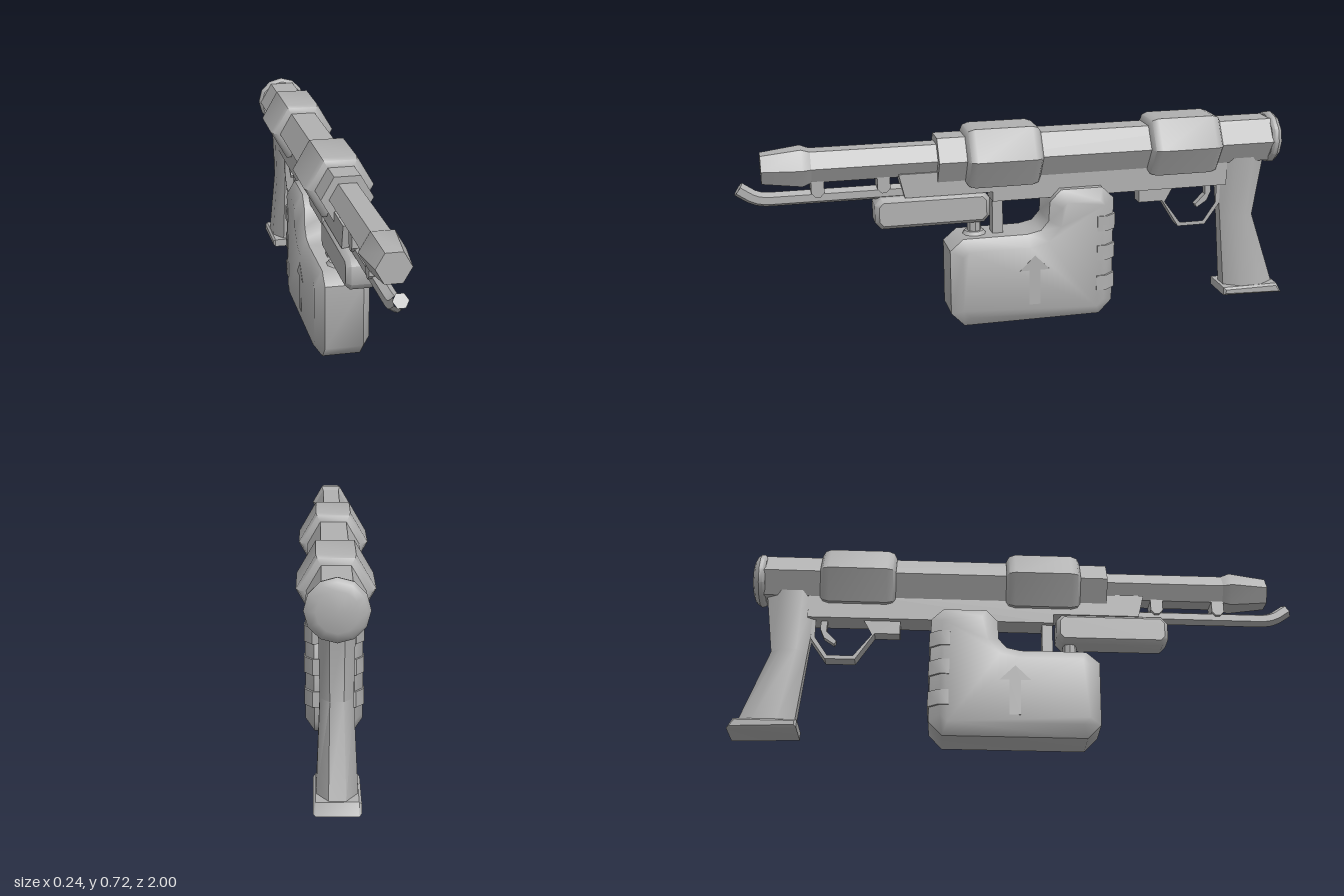
import * as THREE from 'three';
import { toCreasedNormals } from 'three/addons/utils/BufferGeometryUtils.js';

const AXIS_Y = 0.612;

export function createModel() {
  const model = new THREE.Group();
  const grey = new THREE.MeshStandardMaterial({ color: 0xb0b0b0 });
  grey.name = 'plain grey';

  const add = (name, geometry, crease = 0.7) => {
    const mesh = new THREE.Mesh(toCreasedNormals(geometry, crease), grey);
    mesh.name = name;
    model.add(mesh);
    return mesh;
  };
  const shapeOf = (pts) => new THREE.Shape(pts.map(([a, b]) => new THREE.Vector2(a, b)));

  // Turned part along z; profile is [radius, z] from back to front
  const turned = (name, profile, sides = 6, y = AXIS_Y) => {
    const g = new THREE.LatheGeometry(profile.map(([r, z]) => new THREE.Vector2(r, z)), sides, Math.PI / 2);
    g.rotateX(Math.PI / 2).translate(0, y, 0);
    return add(name, g);
  };

  // Side profile in [z, y], centred on x = 0, with an optional inward bevel
  const slab = (name, pts, width, bevel = 0, bevelDepth = bevel, holes = [], crease = 0.7) => {
    const shape = shapeOf(pts);
    holes.forEach((h) => shape.holes.push(shapeOf(h)));
    const depth = width - 2 * bevelDepth;
    const g = new THREE.ExtrudeGeometry(shape, {
      depth, bevelEnabled: bevel > 0, bevelSize: bevel, bevelOffset: -bevel,
      bevelThickness: bevelDepth, bevelSegments: 1,
    });
    g.translate(0, 0, -depth / 2).rotateY(-Math.PI / 2);
    return add(name, g, crease);
  };
  const rect = (z0, z1, y0, y1) => [[z0, y0], [z1, y0], [z1, y1], [z0, y1]];

  // Main tube, front barrel and nozzle
  turned('mainTube', [[0, -0.93], [0.09, -0.93], [0.09, 0.315], [0.066, 0.315], [0, 0.315]]);
  turned('barrel', [[0, 0.28], [0.062, 0.28], [0.062, 0.78], [0, 0.78]]);
  turned('nozzle', [[0, 0.745], [0.062, 0.745], [0.074, 0.775], [0.056, 0.91], [0, 0.91]]);

  // Two bulging sleeves
  [['frontSleeve', -0.052, 0.217], ['rearSleeve', -0.72, -0.45]].forEach(([name, a, b]) =>
    turned(name, [[0, a], [0.095, a], [0.113, a + 0.01], [0.121, a + 0.032],
      [0.121, b - 0.032], [0.113, b - 0.01], [0.095, b], [0, b]]));

  // Rounded end cap
  turned('endCap', [[0, -0.965], [0.062, -0.962], [0.085, -0.953], [0.096, -0.938],
    [0.094, -0.925], [0.085, -0.917], [0, -0.917]], 12);

  // Rail below the tube, with the trigger guard
  slab('rail', [[0.45, 0.57], [0.43, 0.485], [0.12, 0.485], [0.12, 0.45], [-0.76, 0.45], [-0.76, 0.57]], 0.09);
  slab('triggerGuard', [
    [-0.43, 0.46], [-0.43, 0.4], [-0.52, 0.4], [-0.585, 0.297], [-0.69, 0.297], [-0.745, 0.375], [-0.745, 0.46],
  ], 0.05, 0, 0, [[[-0.56, 0.45], [-0.53, 0.395], [-0.592, 0.311], [-0.683, 0.311], [-0.73, 0.38], [-0.73, 0.45]]]);
  slab('trigger', [[-0.69, 0.46], [-0.692, 0.41], [-0.655, 0.372], [-0.662, 0.36],
    [-0.7, 0.385], [-0.715, 0.42], [-0.712, 0.46]], 0.025);

  // Waisted grip; rows are [y, back z, front z, half width]
  const rows = [[0.57, -0.915, -0.725, 0.055], [0.32, -0.88, -0.752, 0.05], [0.045, -0.975, -0.778, 0.062]];
  const grip = new THREE.CylinderGeometry(1, 1, 2, 8, 2, false, Math.PI / 8);
  const p = grip.attributes.position;
  const k = 1 / Math.cos(Math.PI / 8);
  for (let i = 0; i < p.count; i++) {
    const [y, back, front, half] = rows[Math.round(1 - p.getY(i))];
    p.setXYZ(i, p.getX(i) * k * half, y, (back + front) / 2 + p.getZ(i) * k * (front - back) / 2);
  }
  add('grip', grip, 0.9);
  slab('gripBase', [[-0.765, 0.02], [-0.765, 0.05], [-0.98, 0.05], [-1, 0.013]], 0.142, 0.008);

  // Stepped fuel container with chamfered edges
  slab('container', [
    [0.28, 0.05], [0.28, 0.285], [0.232, 0.326], [0, 0.326], [-0.05, 0.337], [-0.078, 0.37], [-0.082, 0.44],
    [-0.122, 0.482], [-0.275, 0.482], [-0.318, 0.44], [-0.318, 0.05], [-0.27, 0], [0.232, 0],
  ], 0.196, 0.04, 0.03, [], 0.85);

  // Bands around the container's back
  [0.102, 0.217, 0.327].forEach((y) => {
    const band = new THREE.ExtrudeGeometry(shapeOf([[-0.102, 0.25], [0.102, 0.25], [0.102, 0.285],
      [0.074, 0.323], [-0.074, 0.323], [-0.102, 0.285]]), { depth: 0.056, bevelEnabled: false });
    band.rotateX(-Math.PI / 2).translate(0, y, 0);
    add('gripBand', band);
  });

  // Arrow plates on both sides of the container
  [1, -1].forEach((s) => {
    const arrow = slab('arrow', [[0, 0.07], [0, 0.2], [0.035, 0.2], [-0.02, 0.255],
      [-0.075, 0.2], [-0.04, 0.2], [-0.04, 0.07]], 0.003);
    arrow.position.x = s * 0.0975;
  });

  // Filler neck and strut joining container and rail
  add('neck', new THREE.CylinderGeometry(0.025, 0.025, 0.08, 8).translate(0, 0.355, 0.18));
  add('neckCollar', new THREE.CylinderGeometry(0.034, 0.044, 0.014, 10).translate(0, 0.331, 0.18));
  slab('strut', rect(0.08, 0.118, 0.31, 0.47), 0.05);

  // Small gas box under the barrel
  slab('gasBox', [[0.13, 0.4], [0.152, 0.376], [0.513, 0.376], [0.535, 0.4],
    [0.535, 0.463], [0.513, 0.487], [0.152, 0.487], [0.13, 0.463]], 0.104, 0.014, 0.016, [], 0.85);

  // Pilot tube with upturned tip
  const path = new THREE.CurvePath();
  const v = (y, z) => new THREE.Vector3(0, y, z);
  path.add(new THREE.LineCurve3(v(0.502, 0.4), v(0.502, 0.88)));
  path.add(new THREE.QuadraticBezierCurve3(v(0.502, 0.88), v(0.502, 0.925), v(0.518, 0.948)));
  path.add(new THREE.LineCurve3(v(0.518, 0.948), v(0.545, 0.987)));
  add('pilotTube', new THREE.TubeGeometry(path, 24, 0.025, 6));
  const tip = new THREE.CircleGeometry(0.025, 6).rotateX(-Math.atan2(0.027, 0.039));
  add('pilotTip', tip.translate(0, 0.545, 0.987));

  // Clamps holding the pilot tube
  [0.725, 0.5].forEach((z) => {
    slab('clamp', [[z - 0.022, 0.57], [z - 0.022, 0.52], [z - 0.008, 0.505],
      [z + 0.008, 0.505], [z + 0.022, 0.52], [z + 0.022, 0.57]], 0.066);
  });

  return model;
}
